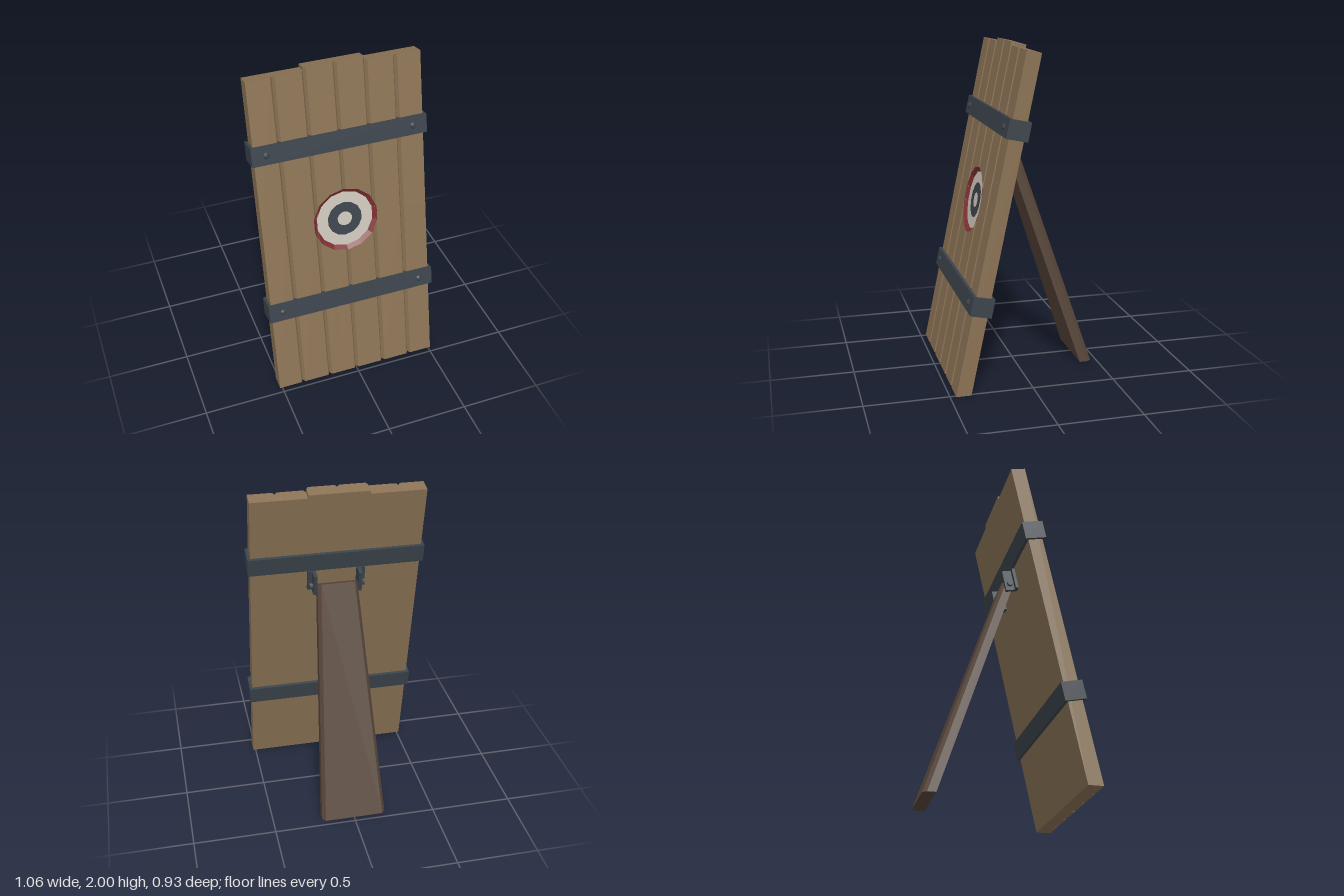
import * as THREE from 'three';
import { ConvexGeometry } from 'three/addons/geometries/ConvexGeometry.js';

const TILT = 0.207;                 // lean of the board
const T = 0.088;                    // board thickness
const GROOVE = 0.02, GROOVE_W = 0.013;
const SIDES = 14, R_OUT = 0.203, R_IN = 0.178, TARGET_Y = 1.067;
const STEP = (2 * Math.PI) / SIDES;

const mat = (name, color, side = THREE.FrontSide) => {
  const m = new THREE.MeshStandardMaterial({ color, side });
  m.name = name;
  return m;
};

// Half height of the target recess (a 14-gon with a corner on top) at x
function recessHalf(x, z) {
  const r = R_OUT + (z / GROOVE) * (R_OUT - R_IN);
  const ax = Math.abs(x);
  for (let k = 0; k < 3; k++) {
    const xa = r * Math.sin(k * STEP), xb = r * Math.sin((k + 1) * STEP);
    if (ax <= xb + 1e-6) {
      const t = (ax - xa) / (xb - xa);
      return r * THREE.MathUtils.lerp(Math.cos(k * STEP), Math.cos((k + 1) * STEP), t);
    }
  }
  return 0;
}

// One plank with grooved edges, level foot and the recess cut from its front
function plankGeometry(x0, x1, top, grooveLeft, grooveRight) {
  const pos = [];
  const quad = (a, b, c, d) => pos.push(...a, ...b, ...c, ...a, ...c, ...d);
  const foot = (z) => -z * Math.tan(TILT);
  const a = grooveLeft ? x0 + GROOVE_W : x0;
  const b = grooveRight ? x1 - GROOVE_W : x1;

  // Front profile, with breaks at the corners of the recess
  const breaks = [];
  for (const s of [-1, 1]) {
    for (let k = 1; k <= 3; k++) breaks.push(s * R_OUT * Math.sin(k * STEP));
    breaks.push(s * (R_OUT * Math.sin(3 * STEP) + 0.0005));
  }
  const profile = [a, ...breaks.filter((x) => x > a && x < b).sort((p, q) => p - q), b].map((x) => [x, 0]);
  if (grooveLeft) profile.unshift([x0, -GROOVE]);
  if (grooveRight) profile.push([x1, -GROOVE]);

  for (let i = 0; i + 1 < profile.length; i++) {
    const [xa, za] = profile[i], [xb, zb] = profile[i + 1];
    const ha = recessHalf(xa, za), hb = recessHalf(xb, zb);
    quad([xa, foot(za), za], [xb, foot(zb), zb], [xb, TARGET_Y - hb, zb], [xa, TARGET_Y - ha, za]);
    quad([xa, TARGET_Y + ha, za], [xb, TARGET_Y + hb, zb], [xb, top, zb], [xa, top, za]);
    quad([xa, top, za], [xb, top, zb], [xb, top, -T], [xa, top, -T]);
    quad([xa, foot(-T), -T], [xb, foot(-T), -T], [xb, foot(zb), zb], [xa, foot(za), za]);
  }
  // Back and both edges
  const zl = grooveLeft ? -GROOVE : 0, zr = grooveRight ? -GROOVE : 0, f = foot(-T);
  quad([x1, f, -T], [x0, f, -T], [x0, top, -T], [x1, top, -T]);
  quad([x0, f, -T], [x0, foot(zl), zl], [x0, top, zl], [x0, top, -T]);
  quad([x1, foot(zr), zr], [x1, f, -T], [x1, top, -T], [x1, top, zr]);

  const g = new THREE.BufferGeometry();
  g.setAttribute('position', new THREE.Float32BufferAttribute(pos, 3));
  g.computeVertexNormals();
  return g;
}

export function createModel() {
  const wood = mat('board wood', 0x8a7254);
  const darkWood = mat('leg wood', 0x574539);
  const iron = mat('iron', 0x3b434b);
  const red = mat('red paint', 0x7d2e32, THREE.DoubleSide);
  const white = mat('white paint', 0xcbc3b8);

  const model = new THREE.Group();
  model.name = 'targetBoard';
  const add = (parent, name, geometry, material, x = 0, y = 0, z = 0) => {
    const m = new THREE.Mesh(geometry, material);
    m.name = name;
    m.position.set(x, y, z);
    parent.add(m);
    return m;
  };

  // Leaning board
  const board = new THREE.Group();
  board.name = 'board';
  board.position.z = 0.465;
  board.rotation.x = -TILT;
  model.add(board);

  const seams = [-0.515, -0.36, -0.18, 0, 0.18, 0.36, 0.515];
  for (let i = 0; i < 6; i++) {
    const top = i === 2 || i === 3 ? 2.043 : 2.023;
    add(board, 'plank', plankGeometry(seams[i], seams[i + 1], top, i > 0, i < 5), wood);
  }

  // Recessed target: sloping red rim and painted rings
  const rim = new THREE.CylinderGeometry(R_OUT, R_IN, GROOVE, SIDES, 1, true).toNonIndexed();
  rim.rotateX(Math.PI / 2);
  rim.computeVertexNormals();
  rim.scale(1, 1, 1);
  // Turn the faces inward
  const p = rim.attributes.position;
  for (let i = 0; i < p.count; i += 3) {
    const v = new THREE.Vector3().fromBufferAttribute(p, i);
    p.setXYZ(i, p.getX(i + 1), p.getY(i + 1), p.getZ(i + 1));
    p.setXYZ(i + 1, v.x, v.y, v.z);
  }
  rim.computeVertexNormals();
  add(board, 'targetRim', rim, red, 0, TARGET_Y, -GROOVE / 2);
  const ring = (name, r0, r1, m) =>
    add(board, name, new THREE.RingGeometry(r0, r1, SIDES, 1, Math.PI / 2), m, 0, TARGET_Y, -GROOVE + 0.0005);
  ring('targetOuterRing', 0.108, R_IN, white);
  ring('targetInnerRing', 0.046, 0.108, iron);
  add(board, 'targetCentre', new THREE.CircleGeometry(0.046, SIDES, Math.PI / 2), white, 0, TARGET_Y, -GROOVE + 0.0005);

  // Iron bands with rivets
  for (const y of [0.555, 1.585]) {
    add(board, 'band', new THREE.BoxGeometry(1.064, 0.113, T + 0.04), iron, 0, y, -T / 2);
    for (const x of [-0.445, 0.445]) {
      const rivet = new THREE.CylinderGeometry(0.01, 0.021, 0.012, 6).toNonIndexed();
      rivet.rotateX(Math.PI / 2);
      rivet.computeVertexNormals();
      add(board, 'rivet', rivet, iron, x, y, 0.026);
    }
  }

  // Hinge brackets on the back
  for (const s of [-1, 1]) {
    add(board, 'hingePlate', new THREE.BoxGeometry(0.05, 0.133, 0.018), iron, s * 0.15, 1.455, -T - 0.009);
    add(board, 'hingeEar', new THREE.BoxGeometry(0.022, 0.133, 0.074), iron, s * 0.137, 1.455, -T - 0.037);
    const pin = new THREE.CylinderGeometry(0.02, 0.02, 0.02, 8).toNonIndexed();
    pin.rotateZ(Math.PI / 2);
    pin.computeVertexNormals();
    add(board, 'hingePin', pin, iron, s * 0.157, 1.432, -T - 0.042);
  }

  // Tapered prop leg with bevelled back edges
  const points = [];
  for (const s of [-1, 1]) {
    for (const [x, y, z] of [
      [0.2, 0, -0.39], [0.2, 0, -0.442], [0.18, 0, -0.466],
      [0.122, 1.375, 0.07], [0.122, 1.391, 0.024], [0.102, 1.398, 0.005],
    ]) points.push(new THREE.Vector3(s * x, y, z));
  }
  add(model, 'propLeg', new ConvexGeometry(points), darkWood);

  return model;
}
